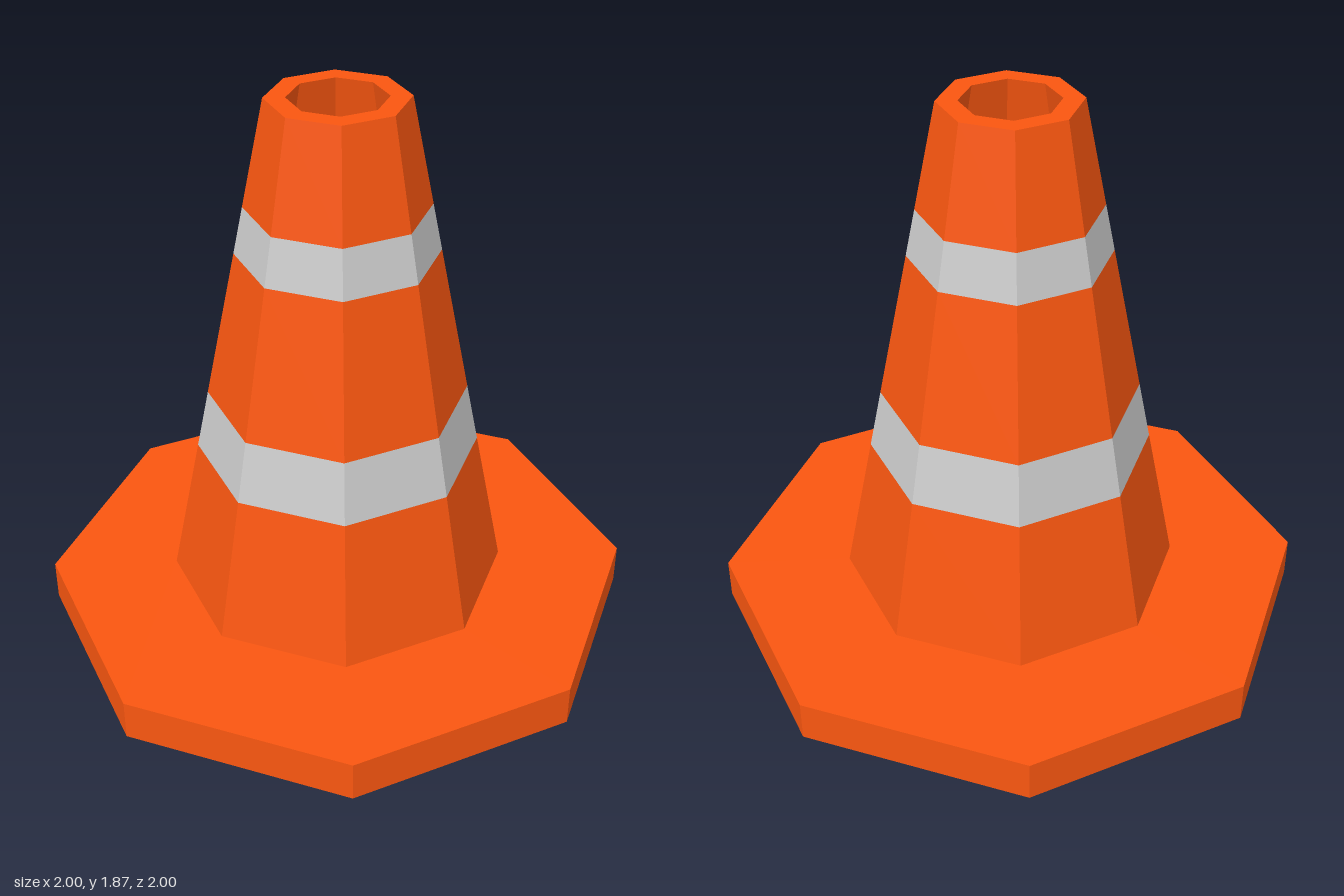
import * as THREE from 'three';

const SIDES = 8;
const BASE_TOP = 0.14, TOP = 1.87;

// Outer radius of the tapering body at height y
const outer = (y) => THREE.MathUtils.mapLinear(y, BASE_TOP, TOP, 0.572, 0.225);

export function createModel() {
  const group = new THREE.Group();
  const orange = new THREE.MeshStandardMaterial({ color: 0xf95610, flatShading: true });
  const grey = new THREE.MeshStandardMaterial({ color: 0xcccccc, flatShading: true });

  // Eight-sided ring of faces swept from a [radius, height] profile
  const addLathe = (name, profile, material) => {
    const points = profile.map(([r, y]) => new THREE.Vector2(r, y));
    const mesh = new THREE.Mesh(new THREE.LatheGeometry(points, SIDES), material);
    mesh.name = name;
    group.add(mesh);
  };
  const addBand = (name, y0, y1, material) =>
    addLathe(name, [[outer(y0), y0], [outer(y1), y1]], material);

  // Octagonal foot plate, open in the middle
  addLathe('base', [[0.53, 0], [1, 0], [1, BASE_TOP], [outer(BASE_TOP), BASE_TOP]], orange);

  // Body sections with flush reflective stripes between them
  addBand('lowerBody', BASE_TOP, 0.635, orange);
  addBand('lowerStripe', 0.635, 0.845, grey);
  addBand('middleBody', 0.845, 1.355, orange);
  addBand('upperStripe', 1.355, 1.515, grey);
  addBand('upperBody', 1.515, TOP, orange);

  // Top rim and hollow inside, running down through the foot
  addLathe('rimAndInnerWall', [[outer(TOP), TOP], [0.157, TOP], [0.53, 0]], orange);

  return group;
}
